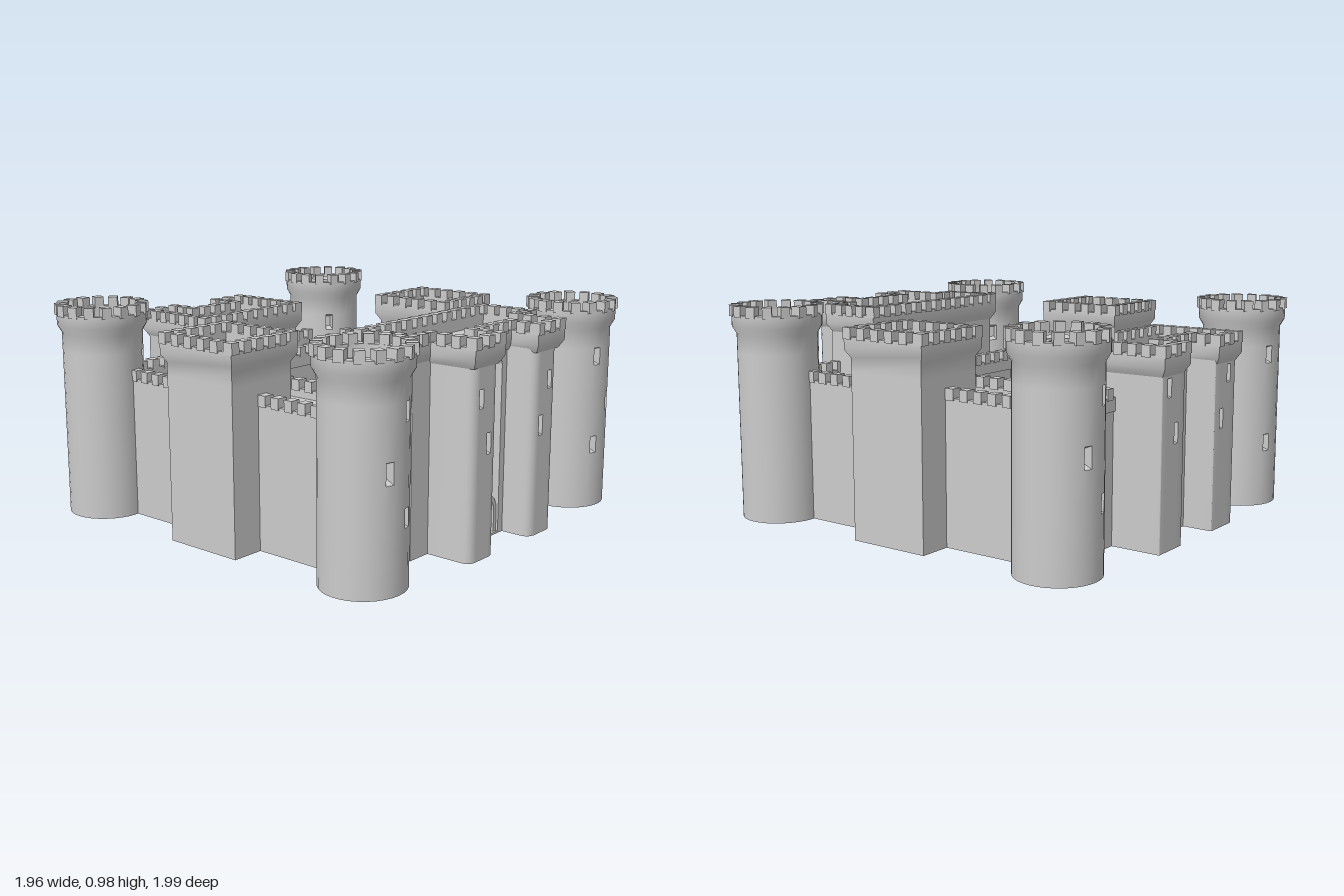
import * as THREE from 'three';
import { mergeGeometries, toCreasedNormals } from 'three/addons/utils/BufferGeometryUtils.js';

const stone = new THREE.MeshStandardMaterial({ color: 0xcccccc });

function add(parent, name, geo) {
  const m = new THREE.Mesh(geo, stone);
  m.name = name;
  parent.add(m);
}

// Plans are [x, z] loops, counter-clockwise seen from above.
const rect = (x0, x1, z0, z1) => [[x0, z1], [x1, z1], [x1, z0], [x0, z0]];
const circle = (cx, cz, r, n, turn = 0) => Array.from({ length: n }, (_, i) => {
  const a = (i + turn) / n * Math.PI * 2;
  return [cx + r * Math.cos(a), cz - r * Math.sin(a)];
});
const mirrorX = plan => plan.map(([x, z]) => [-x, z]).reverse();

// Outward mitred offset of a plan
function offset(plan, d) {
  const n = plan.length;
  const normal = (a, b) => {
    const l = Math.hypot(b[0] - a[0], b[1] - a[1]);
    return [-(b[1] - a[1]) / l, (b[0] - a[0]) / l];
  };
  return plan.map((p, i) => {
    const u = normal(plan[(i + n - 1) % n], p), v = normal(p, plan[(i + 1) % n]);
    const k = d / (1 + u[0] * v[0] + u[1] * v[1]);
    return [p[0] + (u[0] + v[0]) * k, p[1] + (u[1] + v[1]) * k];
  });
}

// Skin a plan through [offset, y] levels; cells centred on a pocket point become splayed recesses.
function loft(plan, levels, { caps = true, pockets = [] } = {}) {
  const pos = [], n = plan.length;
  const quad = (a, b, c, d) => [a, b, c, a, c, d].forEach(v => pos.push(v.x, v.y, v.z));
  const rings = levels.map(([d, y]) => offset(plan, d).map(p => new THREE.Vector3(p[0], y, p[1])));
  for (let l = 0; l + 1 < rings.length; l++) for (let i = 0; i < n; i++) {
    const j = (i + 1) % n;
    const cell = [rings[l][i], rings[l][j], rings[l + 1][j], rings[l + 1][i]];
    const mid = cell.reduce((s, v) => s.add(v), new THREE.Vector3()).multiplyScalar(0.25);
    if (!pockets.some(p => mid.distanceTo(p) < 0.015)) { quad(...cell); continue; }
    const inward = new THREE.Vector3().subVectors(cell[1], cell[0])
      .cross(new THREE.Vector3().subVectors(cell[3], cell[0])).setLength(0.04).negate();
    const back = cell.map(v => v.clone().lerp(mid, 0.35).add(inward));
    for (let k = 0; k < 4; k++) quad(cell[k], cell[(k + 1) % 4], back[(k + 1) % 4], back[k]);
    quad(...back);
  }
  if (caps) [[rings[0], true], [rings[rings.length - 1], false]].forEach(([r, flip]) => {
    const tris = THREE.ShapeUtils.triangulateShape(r.map(v => new THREE.Vector2(v.x, -v.z)), []);
    tris.forEach(t => (flip ? [t[0], t[2], t[1]] : t).forEach(k => pos.push(r[k].x, r[k].y, r[k].z)));
  });
  const g = new THREE.BufferGeometry();
  g.setAttribute('position', new THREE.Float32BufferAttribute(pos, 3));
  return toCreasedNormals(g, 0.6);
}

// Row of merlons standing along a plan, corners included
function merlons(plan, y) {
  const parts = [];
  plan.forEach(([x, z], i) => {
    const [x2, z2] = plan[(i + 1) % plan.length];
    const count = Math.max(1, Math.round(Math.hypot(x2 - x, z2 - z) / 0.072));
    for (let k = 0; k < count; k++) {
      const t = k / count;
      parts.push(new THREE.BoxGeometry(0.042, 0.05, 0.05)
        .rotateY(-Math.atan2(z2 - z, x2 - x))
        .translate(x + (x2 - x) * t, y + 0.015, z + (z2 - z) * t));
    }
  });
  return mergeGeometries(parts);
}

// Corbelled parapet around a sunken roof
const parapetLevels = h => [[0, h - 0.09], [0.02, h - 0.055], [0.02, h], [-0.025, h], [-0.025, h - 0.055]];

// Arched outline, for openings and frames
function arch(cx, y0, w, spring, rise) {
  const pts = [[cx - w, y0], [cx + w, y0]];
  for (let k = 0; k <= 12; k++) {
    const a = k / 12 * Math.PI;
    pts.push([cx + w * Math.cos(a), spring + rise * Math.sin(a)]);
  }
  return new THREE.Shape(pts.map(p => new THREE.Vector2(...p)));
}
const slit = (x, y) => arch(x, y - 0.04, 0.013, y + 0.03, 0.012);

// Upright wall with openings, from z0 to z1
function wall(outline, z0, z1, holes) {
  outline.holes.push(...holes);
  return new THREE.ExtrudeGeometry(outline, { depth: z1 - z0, bevelEnabled: false }).translate(0, 0, z0);
}
const panel = (w, h) => new THREE.Shape([[-w, 0], [w, 0], [w, h], [-w, h]].map(p => new THREE.Vector2(...p)));

// Gatehouse facing +z, with its stretch of curtain wall
function gatehouse(name, { court, back, wing, h, round }) {
  const g = new THREE.Group();
  g.name = name;
  const gate = () => arch(0, 0.01, 0.05, 0.11, 0.06), top = h - 0.06;
  const courtWindows = [-0.22, 0.22].map(x => arch(x, 0.3, 0.025, 0.42, 0.025));
  add(g, 'curtainWall', wall(panel(0.75, 0.6), court, 0.74, [gate(), slit(0, 0.5), ...courtWindows]));
  add(g, 'gatehouseRearWall', wall(panel(wing, top), back, back + 0.06,
    [gate(), slit(0, 0.5), arch(0, 0.61, 0.055, 0.7, 0.045)]));
  add(g, 'gatehouseBody', wall(panel(wing, top), back + 0.06, 0.756, [gate(), slit(0, 0.5), slit(0, 0.69)]));
  // Arched recess over the gate, with sill wall and door frame
  add(g, 'recessArch', wall(panel(0.14, top), 0.756, 0.83, [arch(0, 0.01, 0.1, h - 0.15, 0.05)]));
  add(g, 'lowerGateWall', wall(panel(0.1, 0.39), 0.756, 0.79, [arch(0, 0.01, 0.07, 0.1, 0.07)]));
  add(g, 'gateFrame', wall(arch(0, 0, 0.1, 0.11, 0.09), 0.79, 0.82, [arch(0, 0.01, 0.08, 0.11, 0.07)]));

  // Projecting turrets with window slits
  const corner = (cx, cz, a0) => [0, 1, 2, 3, 4].map(k => {
    const a = a0 + k * Math.PI / 8;
    return [cx + round * Math.cos(a), cz - round * Math.sin(a)];
  });
  const plan = [[0.135, 0.7], ...corner(0.135 + round, 0.97 - round, Math.PI),
    [0.185, 0.97], [0.215, 0.97], [0.245, 0.97], [0.275, 0.97],
    ...corner(0.32 - round, 0.97 - round, Math.PI * 1.5), [0.32, 0.7]];
  for (const s of [1, -1]) {
    add(g, s > 0 ? 'leftTurret' : 'rightTurret', loft(s > 0 ? plan : mirrorX(plan),
      [0, 0.45, 0.54, 0.65, 0.73, top].map(y => [0, y]),
      { pockets: [new THREE.Vector3(s * 0.26, 0.69, 0.97), new THREE.Vector3(s * 0.2, 0.495, 0.97)] }));
  }

  // Parapet following the turrets
  const half = [[0.145, 0.835], [0.145, 0.97], [0.32, 0.97]];
  if (wing > 0.33) half.push([0.32, 0.75], [wing, 0.75]);
  half.push([wing, back]);
  const crown = [...mirrorX(half), ...half];
  add(g, 'gatehouseParapet', loft(crown, parapetLevels(h)));
  add(g, 'gatehouseMerlons', merlons(crown, h));
  return g;
}

export function createModel() {
  const castle = new THREE.Group();
  castle.name = 'castle';
  add(castle, 'courtyardFloor', new THREE.BoxGeometry(1.49, 0.01, 1.47).translate(0, 0.005, 0));

  // Gatehouses front and back
  castle.add(gatehouse('frontGatehouse', { court: 0.33, back: 0.49, wing: 0.44, h: 0.91, round: 0.04 }));
  const rear = gatehouse('backGatehouse', { court: 0.42, back: 0.57, wing: 0.32, h: 0.83, round: 0.006 });
  rear.rotation.y = Math.PI;
  castle.add(rear);

  // Side ranges and square towers
  for (const s of [1, -1]) {
    const side = new THREE.Group();
    side.name = s > 0 ? 'leftSide' : 'rightSide';
    const z = s > 0 ? -0.045 : 0.045;
    add(side, 'sideRange', new THREE.BoxGeometry(0.31, 0.6, 0.75).translate(0.595, 0.3, z));
    const windows = [-0.22, 0, 0.22].map(x => arch(x, 0.3, 0.025, 0.42, 0.025));
    add(side, 'courtyardWall', wall(panel(0.375, 0.6), 0, 0.04, windows)
      .rotateY(-Math.PI / 2).translate(0.44, 0, z));
    const plan = rect(0.55, 0.9, -0.195, 0.19);
    const body = [...plan, [0.55, -0.04], [0.55, 0.04]];
    add(side, 'squareTower', loft(body, [[0, 0], [0, 0.61], [0, 0.73], ...parapetLevels(0.88)],
      { pockets: [new THREE.Vector3(0.55, 0.67, 0)] }));
    add(side, 'squareTowerMerlons', merlons(plan, 0.88));
    side.rotation.y = s > 0 ? 0 : Math.PI;
    castle.add(side);
  }

  // Parapets of the outer wall and the courtyard edge
  const outer = rect(-0.73, 0.73, -0.73, 0.73), inner = rect(-0.4, 0.4, -0.42, 0.33);
  for (const [name, plan] of [['outer', outer], ['courtyard', inner]]) {
    add(castle, name + 'Parapet', loft(plan,
      [[0.02, 0.58], [0.02, 0.64], [-0.02, 0.64], [-0.02, 0.58], [0.02, 0.58]], { caps: false }));
    add(castle, name + 'Merlons', merlons(plan, 0.64));
  }

  // Round corner towers with splayed windows
  for (const sx of [1, -1]) for (const sz of [1, -1]) {
    const cx = sx * 0.768, cz = sz * 0.772, r = 0.182;
    const facet = (i, y) => {
      const a = (i + 0.5) / 32 * Math.PI * 2, m = r * Math.cos(Math.PI / 32);
      return new THREE.Vector3(cx + sx * m * Math.cos(a), y, cz - sz * m * Math.sin(a));
    };
    const rows = [0, 0.26, 0.34, 0.45, 0.54, 0.68, 0.76].map(y => [0, y]);
    const tower = new THREE.Group();
    tower.name = (sz > 0 ? 'front' : 'back') + (sx > 0 ? 'Left' : 'Right') + 'Tower';
    add(tower, 'roundTower', loft(circle(cx, cz, r, 32), [...rows, ...parapetLevels(0.935)],
      { pockets: [facet(22, 0.72), facet(25, 0.495), facet(22, 0.3), facet(11, 0.72)] }));
    add(tower, 'roundTowerMerlons', merlons(circle(cx, cz, r, 16, 0.5), 0.935));
    // Spiral stair on one roof
    if (sx > 0 && sz < 0) {
      add(tower, 'stairDrum', new THREE.CylinderGeometry(0.07, 0.075, 0.06, 24).translate(cx, 0.905, cz));
      for (let k = 0; k < 8; k++) {
        const h = 0.008 + k * 0.006;
        add(tower, 'stairStep', new THREE.BoxGeometry(0.1, h, 0.035).translate(0.11, 0.88 + h / 2, 0)
          .rotateY(-1.3 + k * 0.2).translate(cx, 0, cz));
      }
    }
    castle.add(tower);
  }
  return castle;
}
